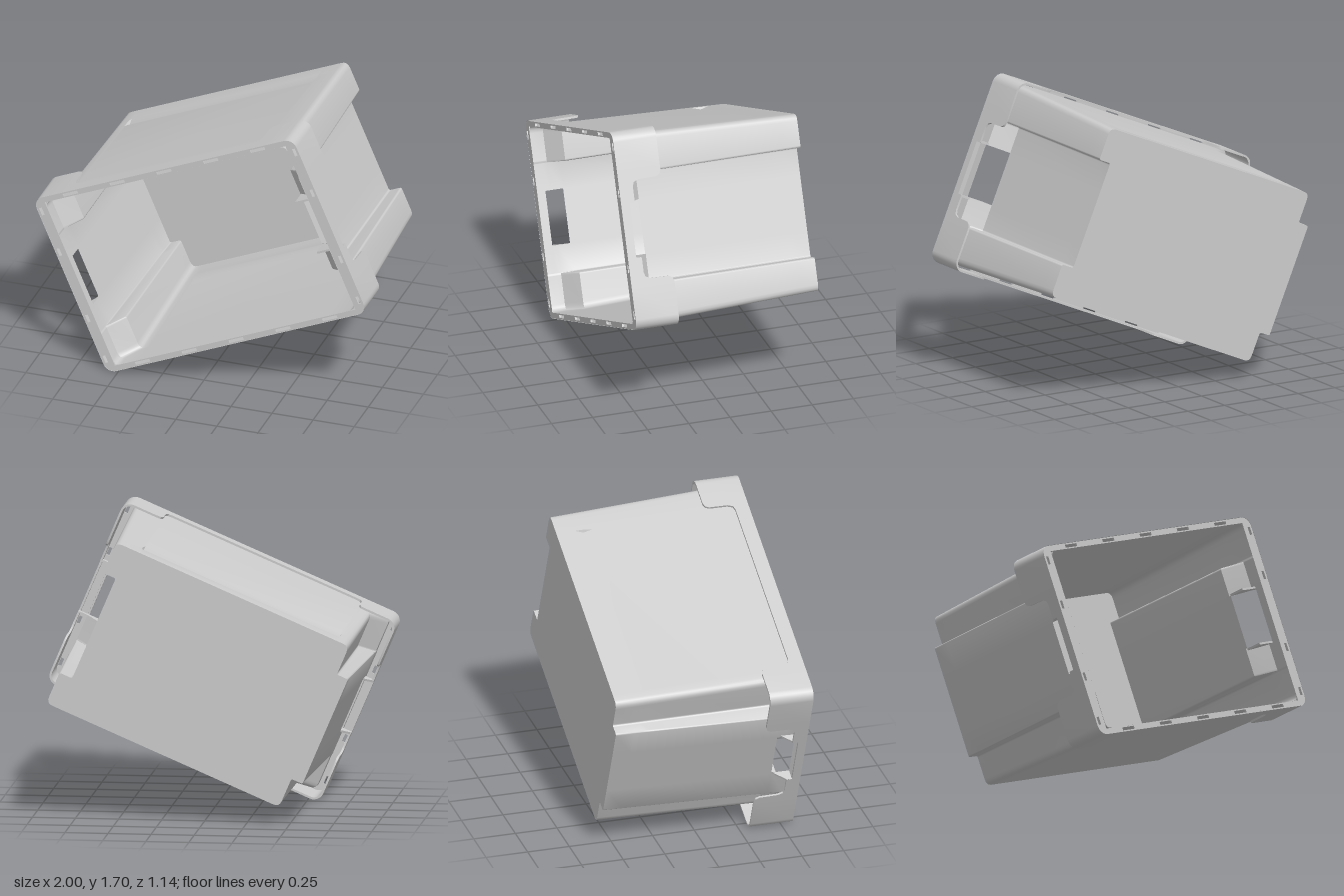
import * as THREE from 'three';
import { toCreasedNormals } from 'three/addons/utils/BufferGeometryUtils.js';

const T = 0.012;                        // wall thickness
const A = 0.862, B = 0.577, RC = 0.06;  // rim half length, half width, corner radius
const TOP = 0.57, BACK = -0.57, HANDLE = 0.16;
const mat = new THREE.MeshStandardMaterial({ color: 0xcccccc, side: THREE.DoubleSide });

function add(group, name, geometry) {
  const mesh = new THREE.Mesh(geometry, mat);
  mesh.name = name;
  group.add(mesh);
  return mesh;
}

function quad(out, a, b, c, d) {
  out.push(...a, ...b, ...c, ...a, ...c, ...d);
}

function toGeometry(out) {
  const g = new THREE.BufferGeometry();
  g.setAttribute('position', new THREE.Float32BufferAttribute(out, 3));
  return toCreasedNormals(g, 0.6);
}

// Body outline at one depth: p widens the set-back parts into pockets, d sinks the side grooves
function section(z, p, d, t) {
  const draft = 0.034 * (0.31 - z);
  const U = 0.8 - draft - t, V = 0.545 - draft - t;
  const R = THREE.MathUtils.lerp(0.69 - t, U, p * 0.98);
  const N = THREE.MathUtils.lerp(0.7 - t, U, p * 0.98);
  const a = 0.32 + t, b = 0.335 - t, r = 0.04, s = 0.012;
  const corners = [
    [U, -V, r], [U, -a, s], [R, -a, s], [R, -HANDLE, 0], [R, HANDLE, 0], [R, a, s], [U, a, s], [U, V, r],
    [0.625, V, 0], [0.615, V - d, 0], [-0.615, V - d, 0], [-0.625, V, 0],
    [-N, V, r], [-N, b, s], [-U, b, s], [-U, HANDLE, 0], [-U, -HANDLE, 0], [-U, -b, s], [-N, -b, s], [-N, -V, r],
    [-0.625, -V, 0], [-0.615, d - V, 0], [0.615, d - V, 0], [0.625, -V, 0],
  ];
  const pts = [];
  corners.forEach(([x, y, rad], i) => {
    const c = new THREE.Vector2(x, y);
    if (!rad) {
      c.handle = Math.abs(y) === HANDLE;
      pts.push(c);
      return;
    }
    const toward = (j) => {
      const q = corners[(j + corners.length) % corners.length];
      const v = new THREE.Vector2(q[0], q[1]).sub(c);
      return v.setLength(Math.min(rad, v.length() / 2)).add(c);
    };
    pts.push(...new THREE.QuadraticBezierCurve(toward(i - 1), c, toward(i + 1)).getPoints(4));
  });
  return pts;
}

// One skin of the body, lofted from the floor to the rim, with the two hand holes left open
function bodySkin(t) {
  const rows = [
    [BACK + t, 0, 0], [-0.46, 0, 0], [-0.41, 0, 0.015], [-0.36, 0, 0],
    [0.41, 0, 0], [0.49, 1, 0], [0.52, 1, 0], [TOP, 1, 0],
  ];
  const out = [];
  const loops = rows.map(([z, p, d]) => section(z, p, d, t));
  for (let j = 0; j < rows.length - 1; j++) {
    const [lo, hi] = [loops[j], loops[j + 1]];
    const open = rows[j][0] >= 0.41 && rows[j + 1][0] <= 0.52;
    lo.forEach((q, i) => {
      const k = (i + 1) % lo.length;
      if (open && q.handle && lo[k].handle) return;
      const c = [[...q, rows[j][0]], [...lo[k], rows[j][0]], [...hi[k], rows[j + 1][0]], [...hi[i], rows[j + 1][0]]];
      quad(out, ...(t ? c.reverse() : c));
    });
  }
  return toGeometry(out);
}

function floorSkin(t) {
  const pts = section(BACK + t, 0, 0, t);
  const g = new THREE.ShapeGeometry(new THREE.Shape(pts));
  if (!t) g.rotateX(Math.PI);   // symmetric across its width, so this only turns it outward
  return g.translate(0, 0, BACK + t);
}

// Lower edge of the skirt along one side: raised in the middle, deep at the corners
function skirtEdge(notch, hasHandle) {
  const half = hasHandle ? [[HANDLE, 0.52], [HANDLE + 0.002, 0.487]] : [];
  half.push([notch - 0.04, 0.487], [notch - 0.015, 0.479], [notch - 0.002, 0.45],
    [notch, 0.34], [notch + 0.012, 0.318], [notch + 0.035, 0.31]);
  return [...half.map(([s, z]) => [-s, z]).reverse(), ...half];
}

// Rounded rectangle of the rim, inset by t, as [x, y, lower edge z]
function rimPath(t) {
  const path = [];
  for (let k = 0; k < 4; k++) {
    const ang = k * Math.PI / 2, c = Math.cos(ang), s = Math.sin(ang);
    const [D, L] = k % 2 ? [B, A] : [A, B];
    for (const [e, z] of skirtEdge(k % 2 ? 0.62 : 0.29, k % 2 === 0))
      path.push([c * (D - t) - s * e, s * (D - t) + c * e, z]);
    for (let i = 0; i <= 6; i++) {
      const f = ang + i * Math.PI / 12, r = RC - t;
      path.push([c * (D - RC) - s * (L - RC) + r * Math.cos(f), s * (D - RC) + c * (L - RC) + r * Math.sin(f), 0.31]);
    }
  }
  return path;
}

function skirt() {
  const outer = rimPath(0), inner = rimPath(T), out = [];
  const top = (p) => [p[0], p[1], TOP];
  outer.forEach((p, i) => {
    const k = (i + 1) % outer.length, q = outer[k], a = inner[i], b = inner[k];
    quad(out, p, q, top(q), top(p));
    quad(out, b, a, top(a), top(b));
    quad(out, a, b, q, p);
  });
  return toGeometry(out);
}

function rectPath(x, y, hw, hh) {
  return new THREE.Path([[-1, -1], [-1, 1], [1, 1], [1, -1]].map(([i, j]) => new THREE.Vector2(x + i * hw, y + j * hh)));
}

// Flat rim with drain slots
function flange() {
  const shape = new THREE.Shape(rimPath(0.002).map(([x, y]) => new THREE.Vector2(x, y)));
  shape.holes.push(rectPath(0, 0, 0.797, 0.542));
  for (const side of [-1, 1]) {
    for (let i = -2; i <= 2; i++) shape.holes.push(rectPath(i * 0.31, side * 0.558, 0.048, 0.009));
    for (const v of [-0.49, -0.22, 0.22, 0.49]) shape.holes.push(rectPath(side * 0.838, v, 0.009, 0.024));
  }
  return new THREE.ExtrudeGeometry(shape, { depth: T, bevelEnabled: false }).translate(0, 0, TOP - T);
}

// Cheek plate beside a hand hole, drawn in length and depth
function cheek(points, v) {
  const shape = new THREE.Shape(points.map(([x, z]) => new THREE.Vector2(x, z)));
  return new THREE.ExtrudeGeometry(shape, { depth: T, bevelEnabled: false })
    .translate(0, 0, -T / 2).rotateX(Math.PI / 2).translate(0, v, 0);
}

export function createModel() {
  const model = new THREE.Group();
  model.name = 'storageCrate';
  const crate = new THREE.Group();
  crate.name = 'tiltedCrate';
  crate.rotation.z = THREE.MathUtils.degToRad(23.2);
  crate.position.y = 0.851;
  model.add(crate);

  add(crate, 'outerWalls', bodySkin(0));
  add(crate, 'innerWalls', bodySkin(T));
  add(crate, 'floorOutside', floorSkin(0));
  add(crate, 'floorInside', floorSkin(T));
  add(crate, 'rimSkirt', skirt());
  add(crate, 'rimFlange', flange());

  for (const side of [-1, 1]) {
    const v = side * (HANDLE + T / 2);
    add(crate, 'recessedHandleCheek', cheek([[0.685, 0.41], [0.8, 0.485], [0.86, 0.49], [0.86, 0.52], [0.685, 0.52]], v));
    add(crate, 'plainHandleCheek', cheek([[-0.795, 0.42], [-0.795, 0.52], [-0.86, 0.52], [-0.86, 0.49]], v));
  }
  return model;
}
